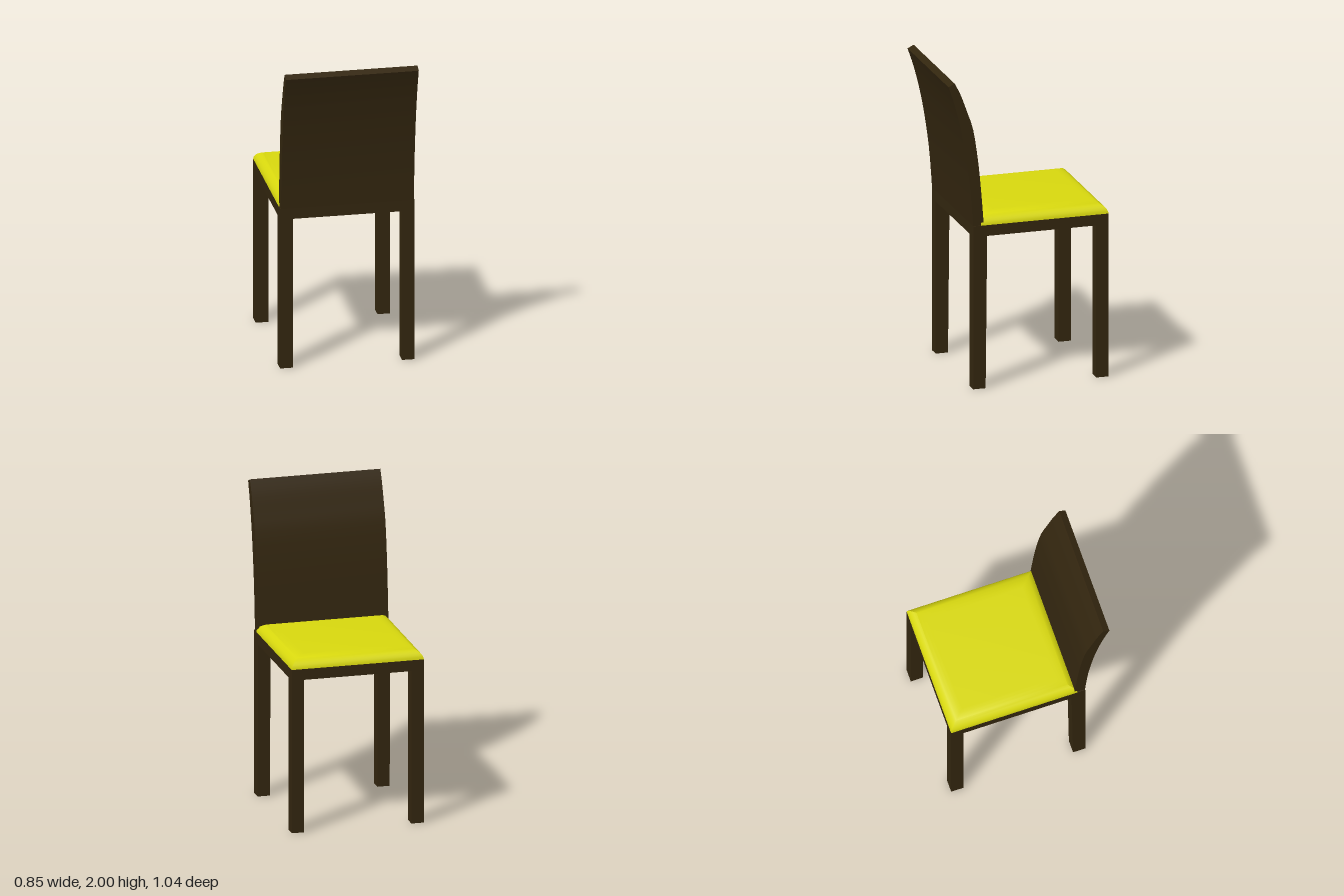
import * as THREE from 'three';
import { toCreasedNormals } from 'three/addons/utils/BufferGeometryUtils.js';

const wood = new THREE.MeshStandardMaterial({ color: 0x33260f });
const fabric = new THREE.MeshStandardMaterial({ color: 0xd8d80e });

// Extrudes a side profile of [z, y] points across x, centred on x = 0
function sideExtrude(points, width) {
  const shape = new THREE.Shape(points.map(([z, y]) => new THREE.Vector2(z, y)));
  const geometry = new THREE.ExtrudeGeometry(shape, { depth: width, bevelEnabled: false });
  geometry.translate(0, 0, -width / 2).rotateY(-Math.PI / 2);
  return toCreasedNormals(geometry, 0.5);
}

function smoothLine(points, divisions) {
  const curve = new THREE.SplineCurve(points.map(([z, y]) => new THREE.Vector2(z, y)));
  return curve.getPoints(divisions).map((p) => [p.x, p.y]);
}

// Rectangular pad with mitred corners and edges rounded by a quarter ellipse
function padGeometry(x, zFront, zBack, y, inset, height, steps) {
  const positions = [], index = [];
  for (let i = 0; i <= steps; i++) {
    const a = (i / steps) * Math.PI / 2;
    const d = inset * (1 - Math.cos(a)), h = y + height * Math.sin(a);
    positions.push(-x + d, h, zFront + d, -x + d, h, zBack - d, x - d, h, zBack - d, x - d, h, zFront + d);
    if (i === 0) continue;
    for (let k = 0; k < 4; k++) {
      const lo = (i - 1) * 4, hi = i * 4, n = (k + 1) % 4;
      index.push(lo + k, lo + n, hi + n, lo + k, hi + n, hi + k);
    }
  }
  const t = steps * 4;
  index.push(t, t + 1, t + 2, t, t + 2, t + 3, 0, 2, 1, 0, 3, 2);
  const geometry = new THREE.BufferGeometry();
  geometry.setAttribute('position', new THREE.Float32BufferAttribute(positions, 3));
  geometry.setIndex(index);
  return toCreasedNormals(geometry, 0.6);
}

export function createModel() {
  const chair = new THREE.Group();
  chair.name = 'chair';
  const add = (name, geometry, material, x = 0, y = 0, z = 0) => {
    const mesh = new THREE.Mesh(geometry, material);
    mesh.name = name;
    mesh.position.set(x, y, z);
    chair.add(mesh);
  };

  // Seat frame
  add('seatFrame', new THREE.BoxGeometry(0.85, 0.07, 0.88), wood, 0, 1.025, -0.08);

  // Legs: straight under the seat edge, slightly flared under the backrest
  const straightLeg = new THREE.BoxGeometry(0.08, 0.99, 0.08);
  const flaredLeg = sideExtrude([[0.28, 0], [0.36, 0], [0.36, 0.99], [0.27, 0.99]], 0.08);
  for (const [side, x] of [['left', 0.385], ['right', -0.385]]) {
    add(side + 'SeatEdgeLeg', straightLeg, wood, x, 0.495, -0.48);
    add(side + 'BackrestLeg', flaredLeg, wood, x);
  }

  // Curved backrest
  const rear = smoothLine([[0.36, 1.06], [0.38, 1.32], [0.41, 1.54], [0.44, 1.7], [0.48, 1.86], [0.52, 1.98]], 14);
  const inner = smoothLine([[0.48, 2], [0.44, 1.92], [0.4, 1.81], [0.36, 1.69], [0.33, 1.5], [0.31, 1.31], [0.29, 1.06]], 14);
  add('backrest', sideExtrude([...rear, ...inner], 0.84), wood);

  // Seat cushion
  add('cushion', padGeometry(0.425, -0.52, 0.31, 1.06, 0.11, 0.07, 8), fabric);

  return chair;
}
